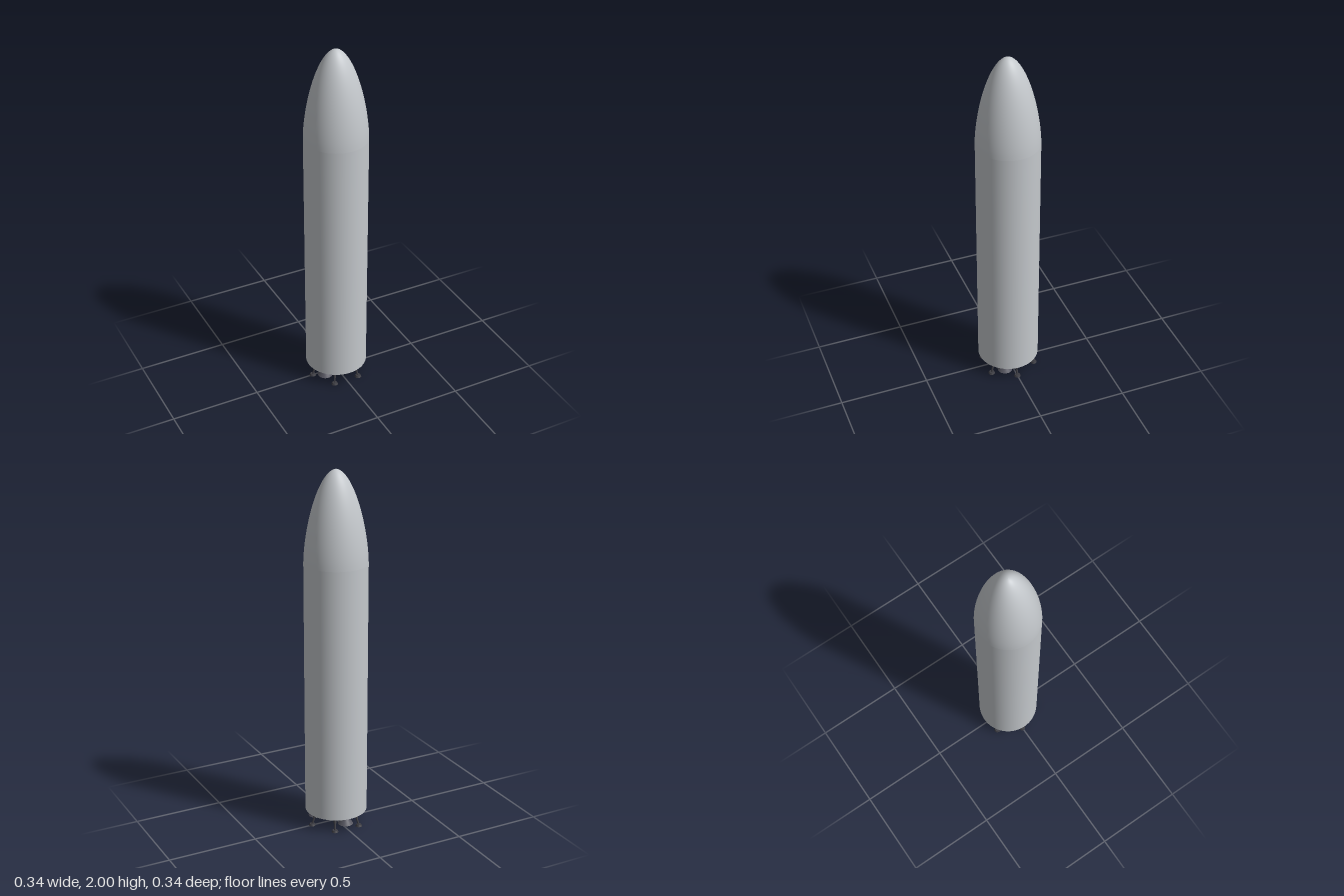
import * as THREE from 'three';

const material = (name, color, side = THREE.FrontSide) => {
  const m = new THREE.MeshStandardMaterial({ color, side });
  m.name = name;
  return m;
};

const R = 0.172, BASE = 0.08, SHOULDER = 1.5, TOP = 2;

export function createModel() {
  const hullGrey = material('hull grey', 0xc4c8cc);
  const engineGrey = material('engine grey', 0x55555f, THREE.DoubleSide);
  const legGrey = material('leg grey', 0x3c3c42);

  const model = new THREE.Group();
  model.name = 'rocket';
  const add = (parent, name, geometry, mat) => {
    const mesh = new THREE.Mesh(geometry, mat);
    mesh.name = name;
    parent.add(mesh);
    return mesh;
  };

  // Cylindrical hull with a closed base
  add(model, 'hull', new THREE.CylinderGeometry(R, R, SHOULDER - BASE, 64, 1, true), hullGrey)
    .position.y = (SHOULDER + BASE) / 2;
  const base = add(model, 'basePlate', new THREE.CircleGeometry(R, 64), hullGrey);
  base.rotation.x = Math.PI / 2;
  base.position.y = BASE;

  // Rounded ogive nose, sampled more densely towards the tip
  const nose = [];
  for (let i = 0; i <= 32; i++) {
    const t = Math.sin((i / 32) * Math.PI / 2);
    const r = i === 32 ? 0 : R * Math.pow(1 - Math.pow(t, 1.6), 0.55);
    nose.push(new THREE.Vector2(r, SHOULDER + t * (TOP - SHOULDER)));
  }
  add(model, 'noseCone', new THREE.LatheGeometry(nose, 64), hullGrey);

  // Engine: open flared bell under a short combustion chamber
  const addEngine = (name, angle, distance, exitRadius, exitY) => {
    const engine = new THREE.Group();
    engine.name = name;
    engine.position.set(Math.cos(angle) * distance, 0, Math.sin(angle) * distance);
    const h = BASE - exitY;
    const throat = exitRadius * 0.28;
    const bell = [[1, 0], [0.86, 0.16], [0.66, 0.36], [0.45, 0.55], [0.28, 0.7]]
      .map(([r, y]) => new THREE.Vector2(r * exitRadius, exitY + y * h));
    add(engine, 'bell', new THREE.LatheGeometry(bell, 32), engineGrey);
    add(engine, 'chamber', new THREE.CylinderGeometry(throat * 1.5, throat, h * 0.3, 24), engineGrey)
      .position.y = exitY + h * 0.85;
    model.add(engine);
  };
  for (let i = 0; i < 3; i++) {
    const a = Math.PI / 6 + i * Math.PI * 2 / 3;
    addEngine('outerEngine', a, 0.113, 0.042, 0.028);
    addEngine('innerEngine', a + Math.PI / 3, 0.042, 0.022, 0.038);
  }

  // Strut between two points
  const addStrut = (parent, name, from, to, rTop, rBottom) => {
    const dir = new THREE.Vector3().subVectors(from, to);
    const strut = add(parent, name, new THREE.CylinderGeometry(rTop, rBottom, dir.length(), 16), legGrey);
    strut.position.addVectors(from, to).multiplyScalar(0.5);
    strut.quaternion.setFromUnitVectors(new THREE.Vector3(0, 1, 0), dir.normalize());
  };

  // Six splayed landing legs with round feet
  for (let i = 0; i < 6; i++) {
    const leg = new THREE.Group();
    leg.name = 'landingLeg';
    leg.rotation.y = i * Math.PI / 3;
    const top = new THREE.Vector3(0.122, BASE + 0.002, 0);
    const foot = new THREE.Vector3(0.15, 0.006, 0);
    const knee = top.clone().lerp(foot, 0.5);
    addStrut(leg, 'upperStrut', top, knee, 0.008, 0.008);
    addStrut(leg, 'lowerStrut', knee, foot, 0.0055, 0.0055);
    add(leg, 'foot', new THREE.CylinderGeometry(0.014, 0.019, 0.01, 24), legGrey)
      .position.set(0.15, 0.005, 0);
    model.add(leg);
  }
  return model;
}
